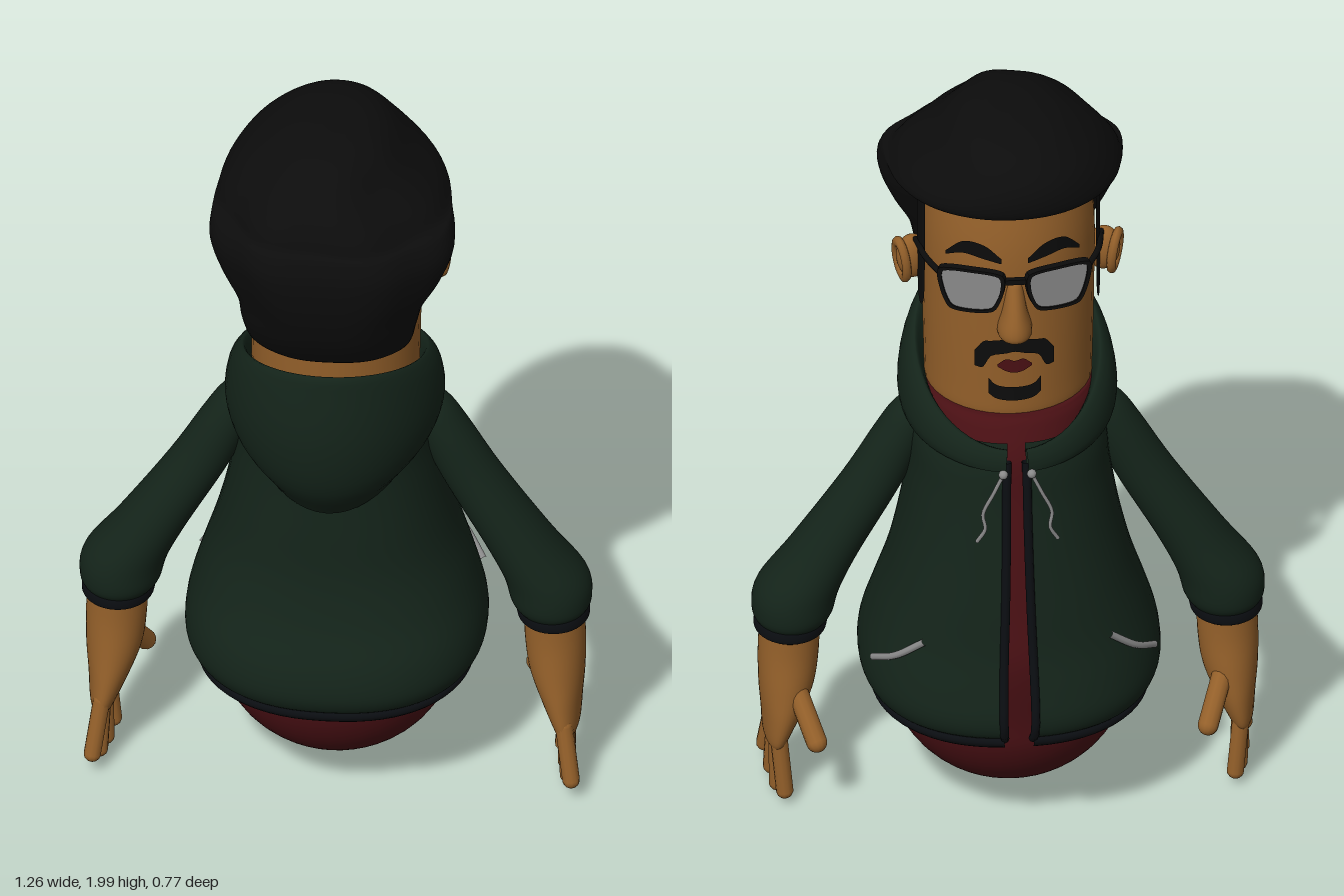
import * as THREE from 'three';

const mat = (color, side = THREE.FrontSide) => new THREE.MeshStandardMaterial({ color, side });
const V = (x, y, z) => new THREE.Vector3(x, y, z);

export function createModel() {
  const root = new THREE.Group();
  const green = mat(0x14241a, THREE.DoubleSide), trim = mat(0x0b0e12, THREE.DoubleSide), skin = mat(0x94602a),
    red = mat(0x4a1014), black = mat(0x0c0c0c, THREE.DoubleSide), grey = mat(0x8a8a8a);

  const add = (name, geometry, material, parent = root) => {
    const mesh = new THREE.Mesh(geometry, material);
    mesh.name = name;
    parent.add(mesh);
    return mesh;
  };

  // Smooth grid surface: u runs to the right as seen from outside, v runs up
  function grid(fn, nu, nv, closed = false, caps = false) {
    const pos = [], idx = [], w = closed ? nu : nu + 1;
    for (let j = 0; j <= nv; j++)
      for (let i = 0; i < w; i++) pos.push(...fn(i / nu, j / nv).toArray());
    for (let j = 0; j < nv; j++)
      for (let i = 0; i < nu; i++) {
        const k = (i + 1) % w, a = j * w + i, b = j * w + k, c = a + w, d = b + w;
        idx.push(a, b, c, b, d, c);
      }
    if (caps) {
      for (const row of [0, nv]) {
        const mid = V(0, 0, 0), n = pos.length / 3;
        for (let i = 0; i < w; i++) mid.add(V().fromArray(pos, (row * w + i) * 3));
        pos.push(...mid.divideScalar(w).toArray());
        for (let i = 0; i < nu; i++) {
          const a = row * w + i, b = row * w + (i + 1) % w;
          row ? idx.push(a, b, n) : idx.push(b, a, n);
        }
      }
    }
    const g = new THREE.BufferGeometry();
    g.setAttribute('position', new THREE.Float32BufferAttribute(pos, 3));
    g.setIndex(idx);
    g.computeVertexNormals();
    return g;
  }

  // Spline through rows of numbers, t from 0 to 1
  const rowSpline = (rows) => {
    const s = new THREE.CubicInterpolant(rows.map((_, i) => i), rows.flat(), rows[0].length, []);
    return (t) => s.evaluate(t * (rows.length - 1));
  };

  // Loft through horizontal oval rings [y, centreX, centreZ, radiusX, radiusZ], listed upwards
  function ringPoint(rings, n = 2, bump = () => 1) {
    const at = rowSpline(rings), pw = (c) => Math.sign(c) * Math.abs(c) ** (2 / n);
    return (a, t) => {
      const [y, cx, cz, rx, rz] = at(t), k = bump(a, t);
      return V(cx + rx * k * pw(Math.sin(a)), y, cz + rz * k * pw(Math.cos(a)));
    };
  }
  const loft = (rings, n, bump, nu = 40) => {
    const p = ringPoint(rings, n, bump);
    return grid((u, v) => p(u * Math.PI * 2, v), nu, (rings.length - 1) * 5, true, true);
  };
  const tube = (pts, r, sides = 8) => new THREE.TubeGeometry(new THREE.CatmullRomCurve3(pts), 20, r, sides);
  const limb = (name, a, b, r, material, parent) => {
    const m = add(name, new THREE.CapsuleGeometry(r, a.distanceTo(b), 6, 12), material, parent);
    m.position.copy(a).add(b).multiplyScalar(0.5);
    m.quaternion.setFromUnitVectors(V(0, 1, 0), b.clone().sub(a).normalize());
  };

  // Shirt with rounded base
  const base = [0.02, 0.2, 0.4, 0.6, 0.8, 1].map((f) => {
    const a = f * Math.PI / 2;
    return [0.375 - 0.295 * Math.cos(a), 0, -0.025, 0.3 * Math.sin(a), 0.28 * Math.sin(a)];
  });
  add('shirt', loft([...base, [0.55, 0, -0.035, 0.3, 0.295], [0.7, 0, -0.045, 0.275, 0.268],
    [0.85, 0, -0.04, 0.245, 0.255], [1, 0, -0.035, 0.225, 0.24], [1.12, 0, -0.03, 0.215, 0.235],
    [1.2, 0, -0.015, 0.215, 0.22], [1.23, 0, -0.005, 0.205, 0.21]]), red);

  // Hooded jacket, open at the front (-z)
  const jacketPoint = ringPoint([[0.36, 0, -0.03, 0.33, 0.315], [0.385, 0, -0.03, 0.355, 0.342],
    [0.43, 0, -0.028, 0.371, 0.352], [0.5, 0, -0.028, 0.366, 0.338], [0.6, 0, -0.038, 0.338, 0.304],
    [0.72, 0, -0.045, 0.3, 0.282], [0.86, 0, -0.04, 0.268, 0.268], [1, 0, -0.035, 0.246, 0.255],
    [1.1, 0, -0.03, 0.235, 0.25], [1.18, 0, -0.03, 0.2, 0.23]], 2.3);
  const gap = 0.075, open = (u) => -Math.PI + gap + u * (Math.PI - gap) * 2;
  add('jacketBody', grid((u, v) => jacketPoint(open(u), v), 64, 45), green);
  add('jacketHem', grid((u, v) => {
    const p = jacketPoint(open(u), 0.08);
    const k = 0.94 + 0.05 * Math.sin(v * Math.PI);
    return V(p.x * k, 0.335 + 0.045 * v, -0.03 + (p.z + 0.03) * k);
  }, 64, 6), trim);
  for (const u of [0, 1]) {
    const edge = Array.from({ length: 15 }, (_, i) => jacketPoint(open(u), i / 15));
    add('jacketFrontEdge', tube(edge, 0.011), trim);
  }

  // Hood lying on the back, with a slanted rim around the neck
  const hoodSection = (a) => {
    const s = Math.sin(a), c = Math.cos(a), b = (1 + c) / 2;
    const zt = 0.02 + 0.305 * c, yt = 1.29 + 0.4 * zt;
    return new THREE.CatmullRomCurve3([
      V(0.232 * s, 1.12 - 0.18 * b ** 3, -0.03 + 0.27 * c),
      V(0.257 * s, 1.125 - 0.07 * b ** 3, 0.01 + 0.31 * c),
      V(0.27 * s, yt - 0.04 - 0.17 * b, 0.025 + 0.325 * c),
      V(0.255 * s, yt - 0.02 - 0.03 * b, zt + 0.012 * c), V(0.228 * s, yt, zt),
      V(0.212 * s, yt - 0.03, zt - 0.035 * c),
      V(0.2 * s, 1.15 + 0.12 * b, 0.23 * c - 0.01)]);
  };
  const hoodGap = (u) => -Math.PI + 0.1 + u * (Math.PI - 0.1) * 2;
  let lastU = -1, section;
  const cache = new Map();
  add('hood', grid((u, v) => {
    if (!cache.has(u)) cache.set(u, hoodSection(hoodGap(u)));
    return cache.get(u).getPoint(v);
  }, 56, 24), green);

  // Head
  const headR = 0.212;
  add('head', loft([[1.2, 0, 0, 0.19, 0.185], [1.225, 0, 0, 0.205, 0.202], [1.3, 0, 0, 0.208, 0.206],
    [1.5, 0, 0, headR, headR], [1.7, 0, 0, headR, headR], [1.88, 0, 0, 0.19, 0.18]]), skin);
  add('nose', loft([[1.462, 0, -0.205, 0.02, 0.025], [1.475, 0, -0.21, 0.04, 0.052], [1.5, 0, -0.21, 0.042, 0.058],
    [1.55, 0, -0.208, 0.03, 0.045], [1.63, 0, -0.2, 0.018, 0.02]], 2, undefined, 20), skin);

  // Strips that follow the face: rows of [angle from the front, low y, high y]
  function faceStrip(name, rows, material, lift = 0.008) {
    const at = rowSpline(rows);
    add(name, grid((u, v) => {
      const [a, lo, hi] = at(u), r = headR + lift;
      return V(-r * Math.sin(a), lo + (hi - lo) * v, -r * Math.cos(a));
    }, 24, 3), material);
  }
  faceStrip('moustache', [[-0.46, 1.375, 1.42], [-0.36, 1.375, 1.45], [-0.27, 1.41, 1.455], [-0.1, 1.42, 1.46],
    [0, 1.425, 1.45], [0.1, 1.42, 1.46], [0.27, 1.41, 1.455], [0.36, 1.375, 1.45], [0.46, 1.375, 1.42]], black);
  faceStrip('mouth', [[-0.2, 1.378, 1.384], [-0.1, 1.365, 1.4], [0, 1.36, 1.395], [0.1, 1.365, 1.4], [0.2, 1.378, 1.384]], red, 0.004);
  faceStrip('goatee', [[-0.3, 1.3, 1.345], [-0.2, 1.285, 1.325], [0, 1.28, 1.32], [0.2, 1.285, 1.325], [0.3, 1.3, 1.345]], black);

  for (const s of [1, -1]) {
    const brow = [[0.15, 1.685, 1.7], [0.35, 1.695, 1.735], [0.6, 1.7, 1.735], [0.85, 1.675, 1.685]];
    faceStrip('eyebrow', s > 0 ? brow : brow.map(([a, l, h]) => [-a, l, h]).reverse(), black);
    const burn = [[1.2, 1.62, 1.82], [1.24, 1.49, 1.82], [1.4, 1.48, 1.82], [1.5, 1.6, 1.82]];
    faceStrip('sideburn', s > 0 ? burn : burn.map(([a, l, h]) => [-a, l, h]).reverse(), black, 0.014);

    // Ears
    const ear = new THREE.Group();
    ear.name = 'ear';
    ear.position.set(s * 0.235, 1.575, 0);
    ear.rotation.set(0, s * 0.35, -s * 0.12);
    root.add(ear);
    add('earLobe', new THREE.SphereGeometry(1, 20, 14), skin, ear).scale.set(0.042, 0.062, 0.032);
    const rim = add('earRim', new THREE.TorusGeometry(0.04, 0.012, 8, 24), skin, ear);
    rim.rotation.y = Math.PI / 2;
    rim.scale.set(0.75, 1.3, 1);
    rim.position.x = s * 0.03;

    // Glasses
    const outline = (k) => {
      const p = [[-0.07, 0.05], [0, 0.058], [0.08, 0.055], [0.078, 0], [0.055, -0.052], [0, -0.06], [-0.05, -0.05], [-0.072, 0]];
      return new THREE.CatmullRomCurve3(p.map(([x, y]) => V(s * x * k, y * k, 0)), true, 'catmullrom', 0.4).getPoints(40)
        .map((q) => new THREE.Vector2(q.x, q.y));
    };
    const glass = new THREE.Group();
    glass.name = 'spectacle';
    glass.position.set(s * 0.102, 1.615, -0.218);
    glass.rotation.y = -s * 0.27;
    root.add(glass);
    const frame = new THREE.Shape(outline(1.06));
    frame.holes.push(new THREE.Path(outline(0.93)));
    add('lensFrame', new THREE.ExtrudeGeometry(frame, { depth: 0.018, bevelEnabled: false }), black, glass).position.z = -0.009;
    add('lens', new THREE.ExtrudeGeometry(new THREE.Shape(outline(0.95)), { depth: 0.008, bevelEnabled: false }), grey, glass).position.z = -0.004;
    add('glassesArm', tube([V(s * 0.18, 1.65, -0.195), V(s * 0.212, 1.65, -0.12), V(s * 0.228, 1.63, -0.01)], 0.008), black);

    // Sleeve and cuff
    add('sleeve', loft([[0.515, s * 0.535, 0, 0.082, 0.088], [0.55, s * 0.531, 0, 0.1, 0.107],
      [0.62, s * 0.516, 0, 0.104, 0.107], [0.73, s * 0.45, 0.003, 0.09, 0.092], [0.92, s * 0.335, 0.003, 0.078, 0.074],
      [1.06, s * 0.265, 0.003, 0.066, 0.064], [1.13, s * 0.235, 0.003, 0.05, 0.05], [1.165, s * 0.222, 0.003, 0.015, 0.02]]), green);
    add('cuff', loft([[0.49, s * 0.537, 0, 0.08, 0.085], [0.5, s * 0.537, 0, 0.089, 0.095],
      [0.525, s * 0.535, 0, 0.089, 0.095], [0.535, s * 0.535, 0, 0.08, 0.085]]), trim);

    // Hand
    const hand = new THREE.Group();
    hand.name = 'hand';
    root.add(hand);
    add('palm', loft([[0.165, s * 0.572, 0.012, 0.022, 0.078], [0.19, s * 0.57, 0.01, 0.034, 0.098],
      [0.26, s * 0.557, 0.003, 0.052, 0.1], [0.34, s * 0.546, 0, 0.069, 0.092], [0.43, s * 0.541, 0, 0.075, 0.082],
      [0.51, s * 0.538, 0, 0.074, 0.08]]), skin, hand);
    [[0.087, 0.115, 0.068, 0.59], [0.037, 0.055, 0.04, 0.578], [-0.012, -0.008, 0.032, 0.568], [-0.06, -0.065, 0.046, 0.555]]
      .forEach(([z0, z1, y, x]) => limb('finger', V(s * 0.57, 0.21, z0), V(s * x, y, z1), 0.0215, skin, hand));
    limb('thumb', V(s * 0.525, 0.34, -0.06), V(s * 0.482, 0.235, -0.14), 0.026, skin, hand);

    // Pocket slit and drawstring
    add('pocketSlit', tube([V(s * 0.347, 0.51, -0.18), V(s * 0.297, 0.555, -0.245), V(s * 0.228, 0.62, -0.288)], 0.009), grey);
    add('drawstring', tube([V(s * 0.035, 1.115, -0.3), V(s * 0.06, 1.06, -0.302), V(s * 0.085, 1.0, -0.3),
      V(s * 0.08, 0.96, -0.305), V(s * 0.1, 0.92, -0.3)], 0.005, 6), grey);
    add('drawstringEyelet', new THREE.SphereGeometry(0.012, 10, 8), grey).position.set(s * 0.035, 1.115, -0.3);
  }
  add('glassesBridge', new THREE.BoxGeometry(0.07, 0.014, 0.014), black).position.set(0, 1.645, -0.235);

  // Hair: thick at the back, swept forward over the brow, with soft locks
  const locks = (a, t) => 1 + 0.03 * Math.max(0, Math.cos(a) + 0.3) * Math.cos(7 * a + 2.6 + t * 2) * Math.sin(Math.PI * t);
  add('hair', loft([[1.385, 0, 0.12, 0.14, 0.085], [1.42, 0, 0.14, 0.195, 0.12], [1.5, 0, 0.17, 0.215, 0.15],
    [1.58, 0.005, 0.18, 0.23, 0.175], [1.66, 0.008, 0.175, 0.27, 0.2], [1.74, 0.008, 0.16, 0.3, 0.22],
    [1.795, 0.005, 0.13, 0.295, 0.235], [1.81, 0.002, 0.07, 0.285, 0.28], [1.85, -0.005, 0.05, 0.262, 0.283],
    [1.91, -0.015, 0.03, 0.205, 0.25], [1.965, -0.005, 0.025, 0.14, 0.195], [1.99, 0.005, 0.03, 0.085, 0.125],
    [2, 0.01, 0.04, 0.03, 0.05]], 2.1, locks, 72), black);

  return root;
}
